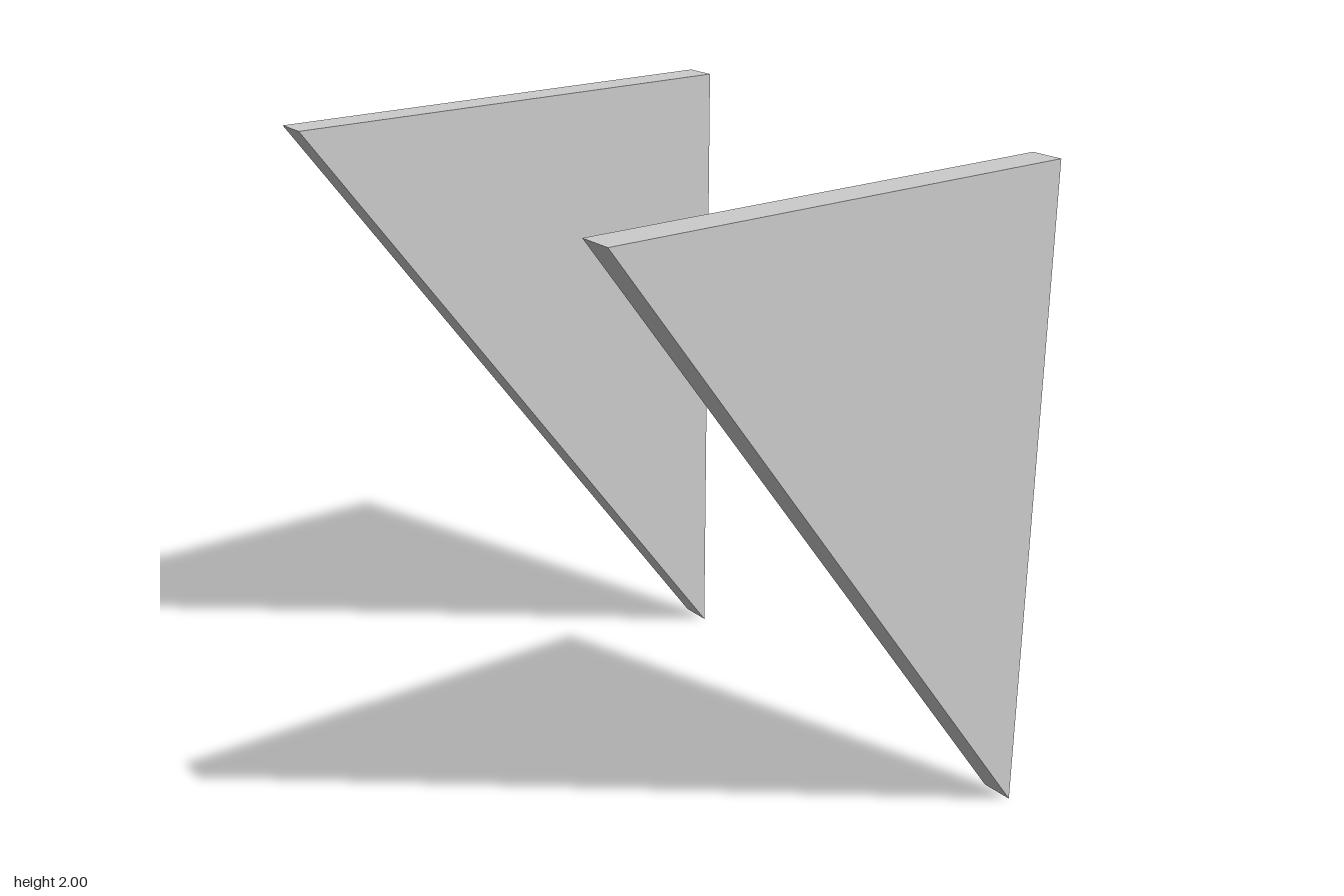
import * as THREE from 'three';

const THICKNESS = 0.102;
const HALF_DEPTH = 0.745;
const HEIGHT = 2;
const OFFSET = 0.766;

export function createModel() {
  const group = new THREE.Group();
  group.name = 'bracketPair';
  const material = new THREE.MeshStandardMaterial({ color: 0xcccccc, flatShading: true });

  // Side profile: upright back edge, level top edge, sloping front edge
  const profile = new THREE.Shape([
    new THREE.Vector2(-HALF_DEPTH, 0),
    new THREE.Vector2(HALF_DEPTH, HEIGHT),
    new THREE.Vector2(-HALF_DEPTH, HEIGHT),
  ]);
  const geometry = new THREE.ExtrudeGeometry(profile, { depth: THICKNESS, bevelEnabled: false });
  geometry.translate(0, 0, -THICKNESS / 2);
  geometry.rotateY(-Math.PI / 2); // profile x becomes z

  // One triangular bracket on each side
  for (const [name, side] of [['leftBracket', 1], ['rightBracket', -1]]) {
    const bracket = new THREE.Mesh(geometry, material);
    bracket.name = name;
    bracket.position.x = side * OFFSET;
    group.add(bracket);
  }
  return group;
}
